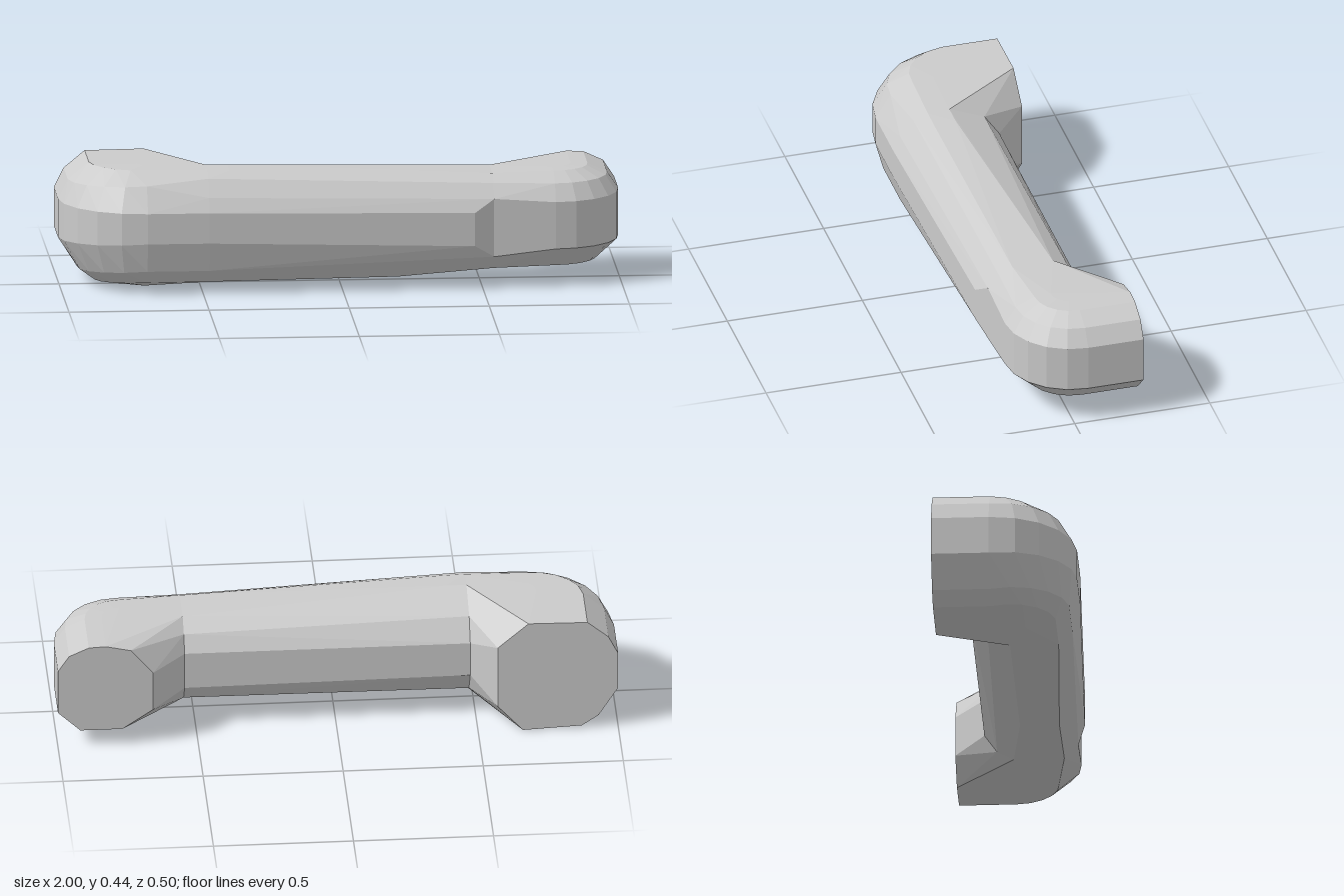
import * as THREE from 'three';
import { ConvexGeometry } from 'three/addons/geometries/ConvexGeometry.js';

const V = (x, y, z) => new THREE.Vector3(x, y, z);
const material = new THREE.MeshStandardMaterial({ color: 0xcccccc, flatShading: true });

// Faceted solid spanned by rings of points
function hull(name, points) {
  const mesh = new THREE.Mesh(new ConvexGeometry(points), material);
  mesh.name = name;
  return mesh;
}

// Cross-section of the bar, [z, y] pairs placed at a given x
const ring = (x, pairs) => pairs.map(([z, y]) => V(x, y, z));

// Bent end: a section [outward, y] swept a quarter turn about a vertical pivot,
// changing from the wall-side section to the bar-side section
function bend({ side, px, pz, offset, from, to, backZ, steps = 5 }) {
  const points = from.map(([u, y]) => V(side * (px + offset + u), y, backZ));
  for (let i = 0; i <= steps; i++) {
    const t = i / steps, a = t * Math.PI / 2;
    from.forEach(([u, y], k) => {
      const r = offset + THREE.MathUtils.lerp(u, to[k][0], t);
      points.push(V(side * (px + r * Math.cos(a)), THREE.MathUtils.lerp(y, to[k][1], t), pz + r * Math.sin(a)));
    });
  }
  return points;
}

export function createModel() {
  const group = new THREE.Group();
  group.name = 'pullHandle';

  // Bar cross-sections where it meets the two ends
  const wideRing = ring(-0.48, [
    [0.04, 0.434], [0.12, 0.432], [0.173, 0.41], [0.222, 0.35], [0.25, 0.3], [0.25, 0.19], [0.222, 0.085],
    [0.173, 0.036], [0, 0.036], [-0.08, 0.08], [-0.145, 0.17], [-0.145, 0.3], [-0.09, 0.38], [-0.03, 0.405],
  ]);
  const narrowRing = ring(0.54, [
    [0.1, 0.4], [0.15, 0.375], [0.19, 0.325], [0.19, 0.115], [0.14, 0.064], [-0.04, 0.064],
    [-0.1, 0.095], [-0.145, 0.16], [-0.145, 0.3], [-0.11, 0.36], [-0.05, 0.4],
  ]);

  // Long tapered grip, with a chamfer at the narrow end's front
  group.add(hull('gripBar', [
    ...wideRing, ...narrowRing,
    V(0.47, 0.16, 0.217), V(0.47, 0.28, 0.217),
    V(0.2, 0.038, 0.14), V(0.2, 0.038, 0.0),
    V(-0.4, 0.434, 0.04), V(-0.4, 0.43, 0.12),
  ]));

  // Larger elbow and foot on the right
  group.add(hull('rightElbow', [...wideRing, ...bend({
    side: -1, px: 0.7, pz: -0.05, offset: 0.085, backZ: -0.255,
    from: [[0.215, 0.3], [0.215, 0.16], [0.145, 0.05], [0.085, 0.01], [-0.125, 0],
      [-0.215, 0.1], [-0.215, 0.34], [-0.105, 0.435], [0.105, 0.432], [0.18, 0.37]],
    to: [[0.215, 0.3], [0.215, 0.19], [0.187, 0.085], [0.138, 0.035], [0.03, 0.003],
      [-0.18, 0.12], [-0.18, 0.34], [0, 0.435], [0.08, 0.432], [0.16, 0.39]],
  })]));

  // Smaller elbow and foot on the left
  const section = [[0.17, 0.31], [0.17, 0.14], [0.09, 0.065], [-0.06, 0.065], [-0.17, 0.14],
    [-0.17, 0.29], [-0.09, 0.385], [0, 0.405], [0.06, 0.402], [0.13, 0.37]];
  group.add(hull('leftElbow', [...narrowRing, ...bend({
    side: 1, px: 0.76, pz: -0.05, offset: 0.07, backZ: -0.255, from: section, to: section,
  })]));

  return group;
}
